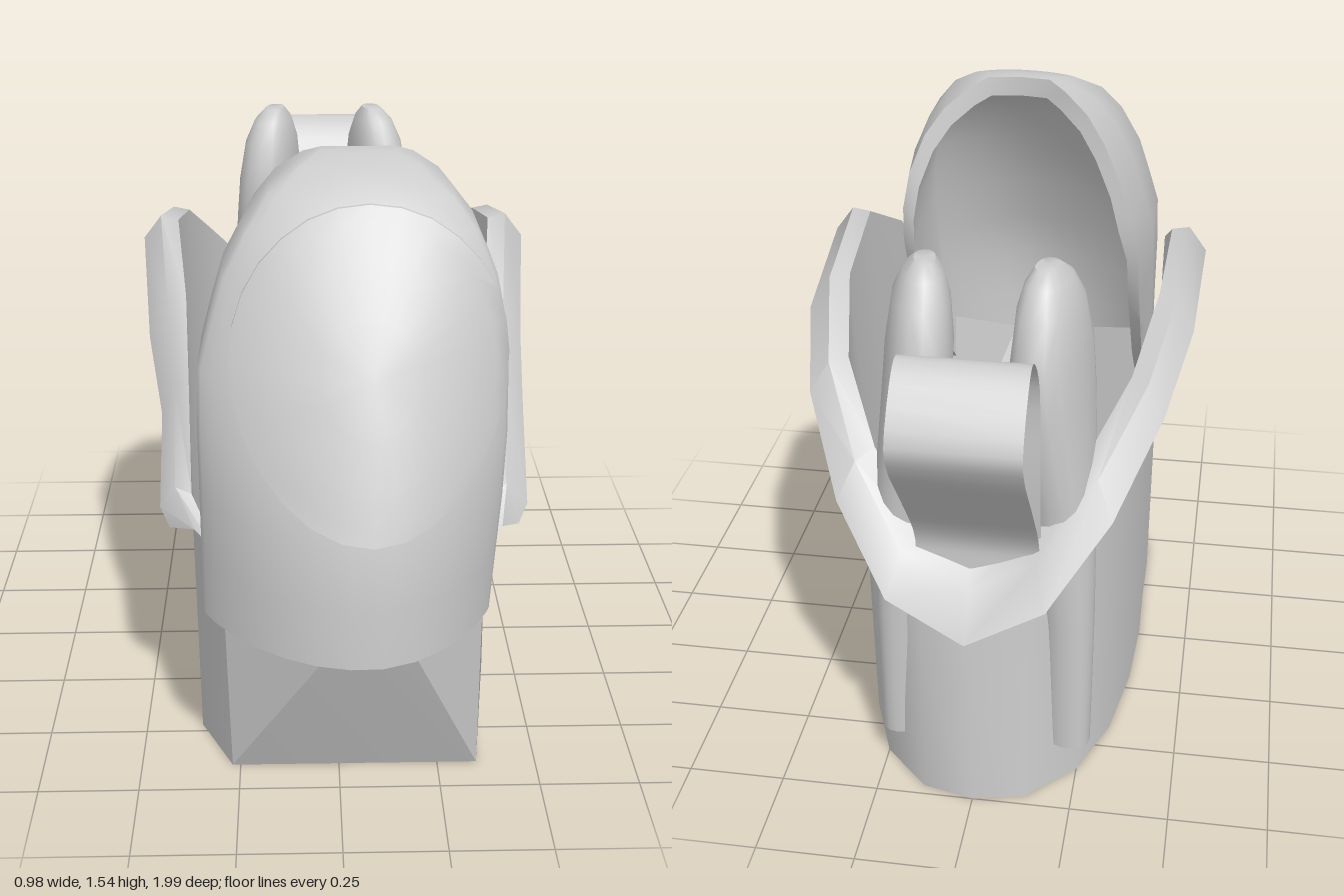
import * as THREE from 'three';
import { toCreasedNormals } from 'three/addons/utils/BufferGeometryUtils.js';

const mat = new THREE.MeshStandardMaterial({ color: 0xcccccc, side: THREE.DoubleSide });

// Skin a list of cross-sections (each a list of [x, y, z]) into one surface
function skin(name, rows, closed = false) {
  const n = rows[0].length, idx = [];
  for (let r = 0; r < rows.length - 1; r++) {
    for (let i = 0; i < (closed ? n : n - 1); i++) {
      const a = r * n + i, b = r * n + (i + 1) % n;
      idx.push(a, b, a + n, b, b + n, a + n);
    }
  }
  return surface(name, rows.flat(), idx);
}

function surface(name, points, idx, crease = 0.8) {
  const g = new THREE.BufferGeometry();
  g.setAttribute('position', new THREE.Float32BufferAttribute(points.flat(), 3));
  g.setIndex(idx);
  const mesh = new THREE.Mesh(toCreasedNormals(g, crease), mat);
  mesh.name = name;
  return mesh;
}

// Linear lookup in a table of [key, ...values]
function lookup(table, k) {
  let i = 0;
  while (i < table.length - 2 && k > table[i + 1][0]) i++;
  const [a, b] = [table[i], table[i + 1]];
  const t = THREE.MathUtils.clamp((k - a[0]) / (b[0] - a[0]), 0, 1);
  return a.slice(1).map((v, j) => v + (b[j + 1] - v) * t);
}

// Half body from front to back: floor x,z | wall top x,y,z | rim edge x,y,z
const stations = [
  [0.35, 0.65, 0.34, 0.64, 0.73, 0.44, 0.645, 0.58],
  [0.355, 0.47, 0.355, 0.73, 0.57, 0.465, 0.68, 0.54],
  [0.36, 0.36, 0.36, 0.97, 0.46, 0.46, 0.88, 0.43],
  [0.36, 0.2, 0.37, 1.14, 0.3, 0.465, 1.03, 0.29],
  [0.365, 0.02, 0.4, 1.265, 0.06, 0.49, 1.215, 0.05],
  [0.355, -0.2, 0.39, 1.21, -0.22, 0.48, 1.14, -0.28],
  [0.32, -0.42, 0.345, 1.09, -0.44, 0.43, 1.02, -0.5],
  [0.25, -0.6, 0.25, 0.94, -0.6, 0.33, 0.83, -0.68],
  [0.13, -0.72, 0.13, 0.77, -0.69, 0.19, 0.65, -0.81],
  [0, -0.75, 0, 0.71, -0.71, 0, 0.55, -0.83],
];

// Toe cap by height: y, half width, front z, z where the side turns, rear edge z, centre x
const capTable = [
  [0.5, 0.34, 1.0, 0.73, 0.72, 0.015],
  [0.64, 0.345, 0.995, 0.725, 0.58, 0.02],
  [0.8, 0.35, 0.98, 0.73, 0.46, 0.025],
  [0.95, 0.355, 0.925, 0.71, 0.33, 0.028],
  [1.1, 0.355, 0.86, 0.67, 0.27, 0.03],
  [1.2, 0.338, 0.81, 0.645, 0.25, 0.04],
  [1.3, 0.313, 0.75, 0.625, 0.26, 0.045],
  [1.4, 0.265, 0.685, 0.605, 0.29, 0.05],
  [1.47, 0.21, 0.63, 0.565, 0.32, 0.05],
  [1.52, 0.14, 0.53, 0.49, 0.355, 0.05],
  [1.54, 0.09, 0.45, 0.43, 0.39, 0.05],
  [1.541, 0, 0.42, 0.42, 0.4, 0.05],
];

// Forward bulge of the cap across its width, k from -1 to 1, peaking left of centre
function bulge(k) {
  const peak = 0.1;
  const d = Math.min(1, Math.abs((k - peak) / (k > peak ? 1 - peak : 1 + peak)));
  return (1 - d * d) ** 0.85;
}

function capSlice([y, w, front, side, rear, cx]) {
  const outer = [[-w * 0.93, rear], [-w, (rear + side) / 2]];
  for (let i = 0; i <= 14; i++) {
    const k = Math.sin((i / 14 - 0.5) * Math.PI);
    outer.push([w * k, side + (front - side) * bulge(k)]);
  }
  outer.push([w, (rear + side) / 2], [w * 0.93, rear]);
  const inner = outer.map(([x, z]) => [cx + x * 0.91, y * 0.95 + 0.025, Math.max(z - 0.03, rear)]);
  return [...outer.map(([x, z]) => [cx + x, y, z]), ...inner.reverse()];
}

// Raised oval panel that follows the bulge of the toe cap
function ovalPanel() {
  const rows = [];
  for (const [r, lift] of [[0, 0.012], [0.35, 0.012], [0.7, 0.012], [0.9, 0.012], [1, 0.012], [1, -0.02]]) {
    const ring = [];
    for (let i = 0; i < 28; i++) {
      const a = (i / 28) * Math.PI * 2;
      const x = 0.067 + 0.318 * r * Math.cos(a), y = 1.135 + 0.335 * r * Math.sin(a);
      const [w, front, side, , cx] = lookup(capTable, y);
      ring.push([x, y, side + (front - side) * bulge((x - cx) / w) + lift]);
    }
    rows.push(ring);
  }
  return skin('toePanel', rows, true);
}

// Upright rounded blade, wide at the top and tapering down outside the wall
function blade(side) {
  // y, centre x, centre z, half length, half thickness
  const sections = [
    [0.12, 0.215, -0.615, 0, 0],
    [0.12, 0.215, -0.615, 0.045, 0.055],
    [0.5, 0.21, -0.615, 0.06, 0.062],
    [0.86, 0.19, -0.6, 0.095, 0.075],
    [1.1, 0.165, -0.575, 0.15, 0.08],
    [1.22, 0.155, -0.565, 0.152, 0.08],
    [1.33, 0.15, -0.555, 0.118, 0.068],
    [1.39, 0.145, -0.55, 0.08, 0.048],
    [1.42, 0.14, -0.55, 0.04, 0.025],
    [1.42, 0.14, -0.55, 0, 0],
  ];
  const tilt = 0.24;
  const soften = (v) => Math.sign(v) * Math.abs(v) ** 0.85;
  const rows = sections.map(([y, cx, cz, len, thick]) => Array.from({ length: 16 }, (_, i) => {
    const a = (i / 16) * Math.PI * 2;
    const l = len * soften(Math.cos(a)), t = thick * soften(Math.sin(a));
    const x = cx + l * Math.sin(tilt) + t * Math.cos(tilt);
    return [side * x - 0.015, y, cz + l * Math.cos(tilt) - t * Math.sin(tilt)];
  }));
  return skin(side > 0 ? 'leftBlade' : 'rightBlade', rows, true);
}

export function createModel() {
  const group = new THREE.Group();

  // Wall and rim run from the left front, round the back, to the right front,
  // where the corner sits further in and the rim is narrower
  const mirrored = stations.slice(0, -1).reverse().map(([a, b, c, d, e, f, g, h]) =>
    [-a, b, -c, d, e, -f + (h > 0.4 ? 0.03 : 0), g, h]);
  const loop = [...stations, ...mirrored];
  const corner = loop[loop.length - 1];
  corner[0] = -0.27;
  corner[2] = -0.28;
  group.add(skin('bodyWall', loop.map((s) => [
    [s[0], 0, s[1]],
    [s[0] + (s[2] - s[0]) * 0.2, s[3] / 2, (s[1] + s[4]) / 2],
    [s[2], s[3], s[4]],
  ])));
  group.add(skin('flaredRim', loop.map((s) => [
    [s[2], s[3], s[4]],
    [(s[2] + s[5]) / 2, (s[3] + s[6]) / 2 + 0.035, (s[4] + s[7]) / 2],
    [s[5], s[6], s[7]],
  ])));

  // Flat floor
  const floorShape = new THREE.Shape(loop.map((s) => new THREE.Vector2(s[0], -s[1])));
  const floor = new THREE.Mesh(new THREE.ShapeGeometry(floorShape), mat);
  floor.rotation.x = -Math.PI / 2;
  floor.name = 'floor';
  group.add(floor);

  // Flat facets narrowing upward to a short ridge under the cap
  group.add(surface('frontPanel', [
    [-0.27, 0, 0.65], [0.35, 0, 0.65], [0.34, 0.64, 0.73],
    [0.13, 0.54, 0.885], [0.02, 0.54, 0.895], [-0.28, 0.64, 0.73],
  ], [0, 1, 4, 1, 3, 4, 1, 2, 3, 0, 4, 5], 0.1));

  // Toe cap shell with its oval panel
  group.add(skin('toeCap', capTable.map(capSlice), true));
  group.add(ovalPanel());

  // Pair of blades at the back
  group.add(blade(1), blade(-1));

  // Looped pull tab, its inner end lying along the inside of the wall
  const path = new THREE.CatmullRomCurve3([
    [0.45, -0.65], [0.7, -0.69], [0.95, -0.72], [1.2, -0.74], [1.3, -0.81], [1.325, -0.86], [1.3, -0.91],
    [1.18, -0.995], [1.12, -0.98], [0.95, -0.85], [0.78, -0.73], [0.7, -0.725],
  ].map(([y, z]) => new THREE.Vector3(0, y, z)));
  group.add(skin('pullTab', path.getPoints(36).map((p) => [[-0.165, p.y, p.z], [0.13, p.y, p.z]])));

  return group;
}
